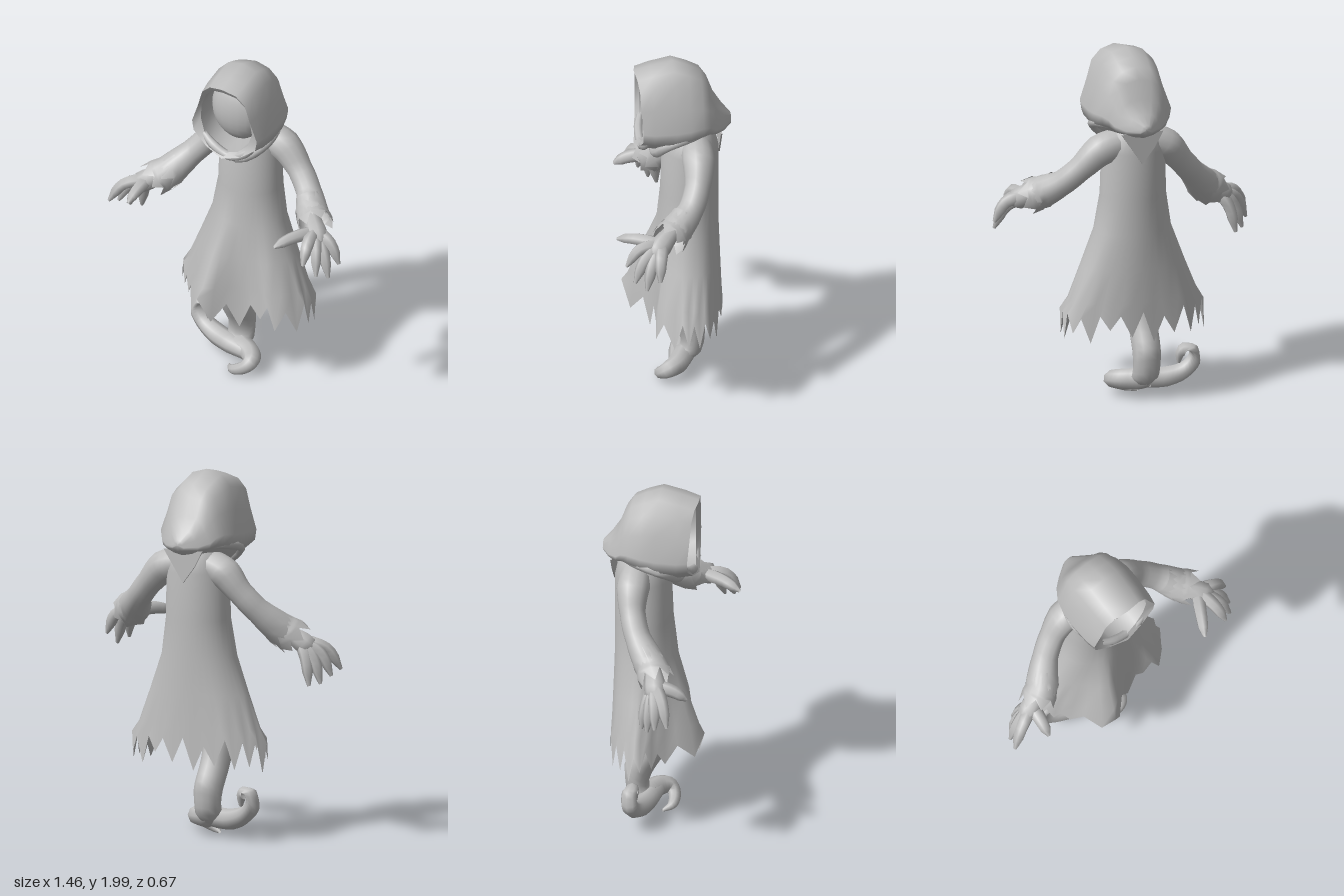
import * as THREE from 'three';

const cloth = new THREE.MeshStandardMaterial({ color: 0xbdbdbd, side: THREE.DoubleSide });
cloth.name = 'plain grey';

const V = (x, y, z) => new THREE.Vector3(x, y, z);
let seed = 7;
const rand = () => (seed = (seed * 16807) % 2147483647) / 2147483647;

function mesh(geometry, name) {
  const m = new THREE.Mesh(geometry, cloth);
  m.name = name;
  return m;
}

// Skin a list of closed rings that all have the same number of points
function loft(rings) {
  const n = rings[0].length, pos = [], index = [];
  rings.forEach(r => r.forEach(p => pos.push(p.x, p.y, p.z)));
  for (let i = 0; i < rings.length - 1; i++) {
    for (let j = 0; j < n; j++) {
      const k = (j + 1) % n, a = i * n, b = a + n;
      index.push(a + j, b + j, a + k, a + k, b + j, b + k);
    }
  }
  const g = new THREE.BufferGeometry();
  g.setAttribute('position', new THREE.Float32BufferAttribute(pos, 3));
  g.setIndex(index);
  g.computeVertexNormals();
  return g;
}

// Tube with a radius at each path point; ragged > 0 tears its far end into points
function taperTube(points, radii, { sides = 8, steps = 4, ragged = 0, closed = false } = {}) {
  const curve = new THREE.CatmullRomCurve3(points.map(p => V(...p)), closed);
  const count = (points.length - (closed ? 0 : 1)) * steps;
  const frames = curve.computeFrenetFrames(count, closed);
  const rings = [];
  for (let i = 0; i <= count; i++) {
    const t = i / count, f = t * (radii.length - 1), a = Math.min(Math.floor(f), radii.length - 2);
    const r = THREE.MathUtils.lerp(radii[a], radii[a + 1], f - a);
    const c = curve.getPoint(t), ring = [];
    for (let j = 0; j < sides; j++) {
      const th = j / sides * Math.PI * 2;
      const p = c.clone()
        .addScaledVector(frames.normals[i], Math.cos(th) * r)
        .addScaledVector(frames.binormals[i], Math.sin(th) * r);
      if (ragged && i === count) p.addScaledVector(frames.tangents[i], j % 2 ? ragged * (0.6 + rand() * 0.6) : -ragged * rand() * 0.5);
      ring.push(p);
    }
    rings.push(ring);
  }
  return loft(rings);
}

function makeRobe() {
  // y, half width, front z, back z
  const rows = [
    [1.62, 0.07, -0.07, -0.21], [1.56, 0.14, -0.01, -0.25], [1.46, 0.175, 0.035, -0.27],
    [1.2, 0.182, 0.045, -0.27], [1.0, 0.215, 0.065, -0.27], [0.8, 0.29, 0.08, -0.275],
    [0.62, 0.36, 0.09, -0.28], [0.5, 0.405, 0.1, -0.285],
  ];
  const n = 40;
  const tears = Array.from({ length: n }, (_, j) => (j % 2 ? -0.02 - rand() * 0.11 : 0.02 + rand() * 0.05));
  const bump = (th, at, width) => Math.exp(-(((th - at) / width) ** 2));
  return loft(rows.map(([y, w, zf, zb], i) => {
    const drop = THREE.MathUtils.clamp((1.0 - y) / 0.45, 0, 1);
    return tears.map((tear, j) => {
      const th = j / n * Math.PI * 2, signed = th > Math.PI ? th - Math.PI * 2 : th;
      // Front folds that swing outwards towards the hem
      const swing = (bump(signed, -0.33, 0.28) * 0.155 + bump(signed, 0.8, 0.25) * 0.06) * drop;
      const fold = 1 + Math.sin(th * 7) * 0.02 * drop;
      return V(
        0.017 + Math.sin(th) * w * fold,
        y + (i === rows.length - 1 ? tear : 0),
        (zf + zb) / 2 + Math.cos(th) * (zf - zb) / 2 * fold + swing,
      );
    });
  }));
}

function makeHood() {
  const g = new THREE.Group();
  g.name = 'hood';
  // Half outlines: share of half width, share of height
  const pear = [[0, 1], [0.4, 0.955], [0.66, 0.84], [0.8, 0.62], [1, 0.36], [0.95, 0.23], [0.52, 0.08], [0, 0]];
  const oval = [[0, 1], [0.45, 0.955], [0.76, 0.83], [0.96, 0.62], [1, 0.4], [0.85, 0.2], [0.5, 0.06], [0, 0]];
  const ring = (half, z, w, top, bottom, bow = 0) =>
    [...half, ...half.slice(1, -1).reverse().map(([x, y]) => [-x, y])]
      .map(([x, y]) => V(0.018 + x * w, bottom + y * (top - bottom), z - bow * Math.abs(x)));
  const rim = ring(pear, 0.19, 0.205, 1.95, 1.5, 0.03);
  const opening = ring(oval, 0.17, 0.162, 1.918, 1.53, 0.03);
  g.add(mesh(loft([
    rim, ring(pear, 0.1, 0.216, 1.975, 1.48), ring(pear, -0.02, 0.222, 2.0, 1.47), ring(pear, -0.1, 0.218, 1.967, 1.5),
    ring(pear, -0.17, 0.2, 1.93, 1.53), ring(pear, -0.21, 0.175, 1.87, 1.545), ring(pear, -0.245, 0.15, 1.77, 1.555),
    ring(pear, -0.29, 0.1, 1.7, 1.565), ring(pear, -0.335, 0.035, 1.65, 1.59), ring(pear, -0.34, 0.002, 1.63, 1.62),
  ]), 'hoodShell'));
  g.add(mesh(loft([opening, rim]), 'hoodRim'));
  g.add(mesh(loft([ring(oval, 0.0, 0.165, 1.925, 1.53), opening]), 'hoodLining'));

  const face = mesh(new THREE.SphereGeometry(1, 20, 14), 'face');
  face.scale.set(0.16, 0.19, 0.11);
  face.position.set(0.015, 1.73, 0.0);
  g.add(face);

  // Slanting folds of cloth below the chin
  g.add(mesh(taperTube([[0.05, 1.455, 0.08], [0.2, 1.57, 0.02], [0.17, 1.62, -0.15], [0.02, 1.6, -0.24],
    [-0.14, 1.62, -0.15], [-0.17, 1.58, 0.02]], [0.028, 0.028], { closed: true }), 'collarFold'));
  g.add(mesh(taperTube([[-0.17, 1.62, 0.12], [-0.06, 1.55, 0.155], [0.05, 1.51, 0.155], [0.14, 1.55, 0.145], [0.21, 1.63, 0.11]],
    [0.012, 0.025, 0.025, 0.025, 0.012]), 'chinFold'));

  // Pointed end of the hood lying on the back
  const drape = new THREE.Shape([[-0.1, 1.59], [0.14, 1.59], [0.06, 1.47], [0.02, 1.41], [-0.05, 1.5]].map(p => new THREE.Vector2(...p)));
  const drapeMesh = mesh(new THREE.ExtrudeGeometry(drape, { depth: 0.008, bevelEnabled: false }), 'backDrape');
  drapeMesh.position.z = -0.278;
  g.add(drapeMesh);
  return g;
}

function makeArm(side, sleeve, cuff, wrist, palm, thumb, fingers) {
  const g = new THREE.Group();
  g.name = side + 'Arm';
  g.add(mesh(taperTube(sleeve, [0.085, 0.09, 0.07, 0.07, 0.092], { sides: 14, ragged: 0.05 }), 'sleeve'));
  g.add(mesh(taperTube(cuff, [0.07, 0.085, 0.098], { sides: 14, ragged: 0.05 }), 'tornCuff'));
  g.add(mesh(taperTube([wrist[0], wrist[1], palm], [0.04, 0.05, 0.06, 0.058, 0.02]), 'hand'));
  // Bent fingers that fan out from the hand, rise over the knuckle and end in a point
  [thumb, ...fingers].forEach((tip, i) => {
    const base = V(...wrist[1]), end = V(...tip);
    const knuckle = base.clone().lerp(end, 0.62);
    knuckle.y += i ? 0.055 : 0.015;
    g.add(mesh(taperTube([wrist[1], knuckle.toArray(), tip], [0.032, 0.038, 0.034, 0.029, 0.009], { sides: 6 }),
      i ? 'finger' + i : 'thumb'));
  });
  return g;
}

export function createModel() {
  const model = new THREE.Group();
  model.name = 'hoodedGhost';
  model.add(mesh(makeRobe(), 'robe'), makeHood());

  model.add(makeArm('left',
    [[0.1, 1.5, -0.14], [0.21, 1.47, -0.14], [0.32, 1.37, -0.12], [0.41, 1.28, -0.07], [0.49, 1.21, 0.02]],
    [[0.43, 1.27, -0.04], [0.48, 1.22, 0.01], [0.525, 1.19, 0.05]],
    [[0.48, 1.22, 0.02], [0.56, 1.17, 0.1]], [0.63, 1.12, 0.16], [0.435, 1.15, 0.33],
    [[0.725, 1.03, 0.13], [0.7, 0.97, 0.2], [0.66, 1.0, 0.26], [0.6, 1.07, 0.3]]));
  model.add(makeArm('right',
    [[-0.07, 1.5, -0.14], [-0.16, 1.46, -0.14], [-0.25, 1.36, -0.125], [-0.335, 1.26, -0.08], [-0.43, 1.15, 0.01]],
    [[-0.38, 1.22, -0.04], [-0.43, 1.16, 0.01], [-0.475, 1.12, 0.04]],
    [[-0.44, 1.15, 0.02], [-0.53, 1.09, 0.05]], [-0.61, 1.03, 0.07], [-0.55, 1.03, 0.23],
    [[-0.72, 0.94, 0.15], [-0.7, 0.91, 0.08], [-0.66, 0.87, 0.03], [-0.61, 0.86, -0.01]]));

  // Tail-like leg that splits into two curled ends
  const tail = new THREE.Group();
  tail.name = 'tail';
  tail.add(mesh(taperTube([[-0.05, 0.85, -0.06], [-0.06, 0.6, -0.01], [-0.06, 0.42, -0.06], [-0.055, 0.25, -0.14],
    [-0.05, 0.14, -0.115], [-0.03, 0.1, -0.04]], [0.11, 0.09, 0.08, 0.078, 0.074, 0.04], { sides: 12 }), 'tailStem'));
  tail.add(mesh(taperTube([[-0.07, 0.13, -0.12], [-0.02, 0.115, -0.08], [0.06, 0.11, -0.04], [0.095, 0.1, 0.01], [0.07, 0.07, 0.042],
    [0.0, 0.035, 0.045], [-0.05, 0.02, 0.0]], [0.055, 0.062, 0.056, 0.046, 0.036, 0.027, 0.008]), 'hookedEnd'));
  tail.add(mesh(taperTube([[0.05, 0.11, -0.04], [-0.08, 0.11, -0.07], [-0.19, 0.115, -0.1], [-0.28, 0.15, -0.12], [-0.33, 0.215, -0.13],
    [-0.305, 0.275, -0.13], [-0.26, 0.26, -0.12], [-0.245, 0.19, -0.11]],
  [0.045, 0.058, 0.058, 0.05, 0.047, 0.042, 0.034, 0.01]), 'curledEnd'));
  model.add(tail);
  return model;
}
